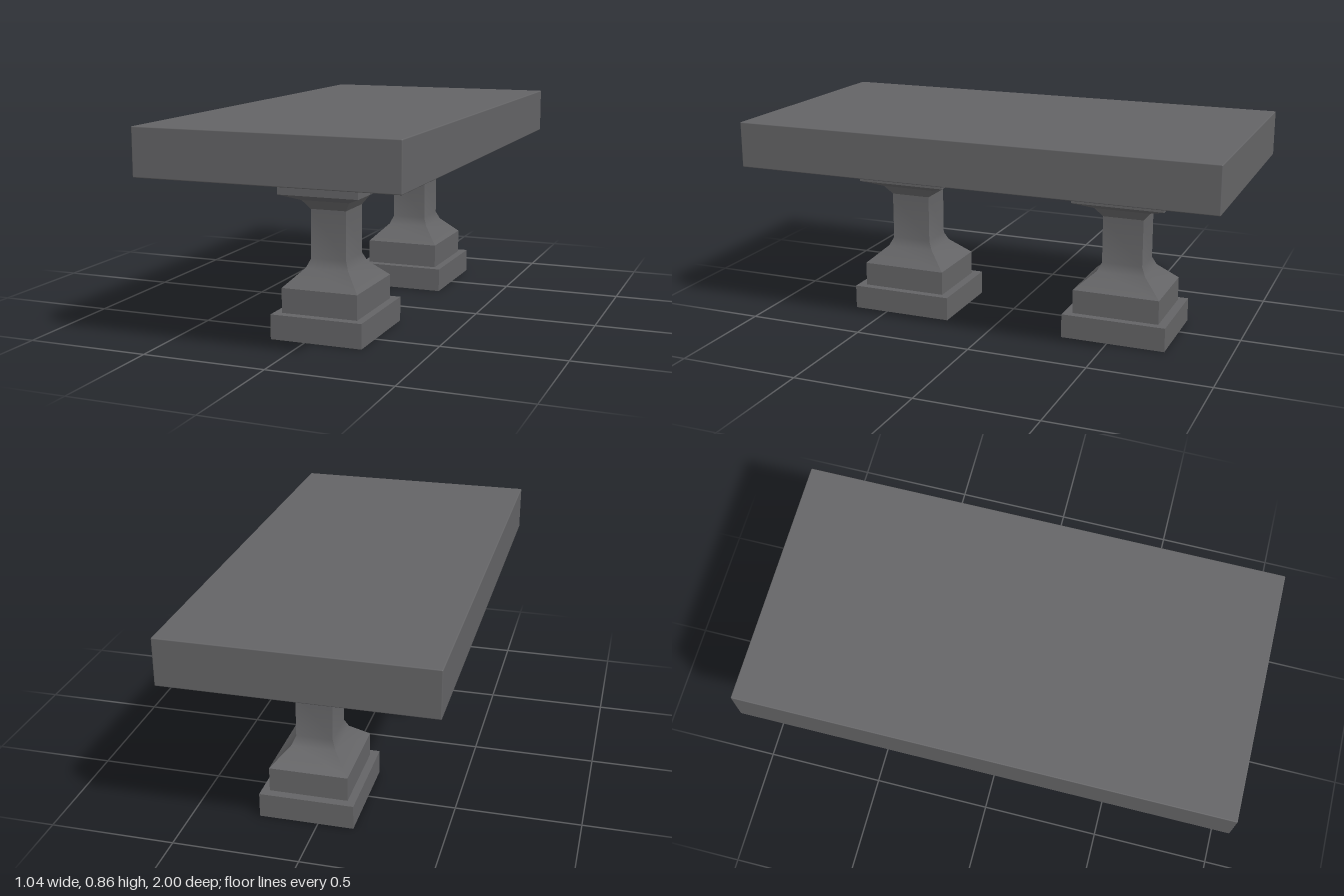
import * as THREE from 'three';
import { toCreasedNormals } from 'three/addons/utils/BufferGeometryUtils.js';
import { RoundedBoxGeometry } from 'three/addons/geometries/RoundedBoxGeometry.js';

const DEPTH_RATIO = 1.15; // pedestals are slightly deeper than wide

// Rectangular moulding swept from a profile of [half width, height], bottom to top
function squareTurned(profile) {
  const points = profile.map(([half, y]) => new THREE.Vector2(half * Math.SQRT2, y));
  const geometry = new THREE.LatheGeometry(points, 4);
  geometry.rotateY(Math.PI / 4);
  geometry.scale(1, 1, DEPTH_RATIO);
  return toCreasedNormals(geometry, THREE.MathUtils.degToRad(30));
}

export function createModel() {
  const stone = new THREE.MeshStandardMaterial({ color: 0x646466 });
  stone.name = 'dark grey stone';

  const model = new THREE.Group();
  model.name = 'stoneTable';

  const add = (parent, name, geometry) => {
    const mesh = new THREE.Mesh(geometry, stone);
    mesh.name = name;
    parent.add(mesh);
    return mesh;
  };

  // Thick slab with barely softened edges
  const slab = add(model, 'tableSlab', new RoundedBoxGeometry(1.044, 0.189, 2, 2, 0.004));
  slab.position.y = 0.7625;

  // Stepped foot, flared shaft and capital
  const plinth = squareTurned([[0, 0], [0.19, 0], [0.19, 0.1], [0, 0.1]]);
  const column = squareTurned([
    [0.158, 0.1], [0.158, 0.2], [0.089, 0.27], [0.074, 0.305],
    [0.074, 0.502], [0.1, 0.54], [0.167, 0.57],
    [0.167, 0.66], [0.163, 0.664], [0, 0.664],
  ]);

  // Two pedestals, set a little off the slab's centre
  for (const [name, z] of [['frontPedestal', 0.43], ['backPedestal', -0.523]]) {
    const pedestal = new THREE.Group();
    pedestal.name = name;
    pedestal.position.set(0.047, 0, z);
    add(pedestal, 'plinth', plinth);
    add(pedestal, 'column', column);
    model.add(pedestal);
  }

  return model;
}
